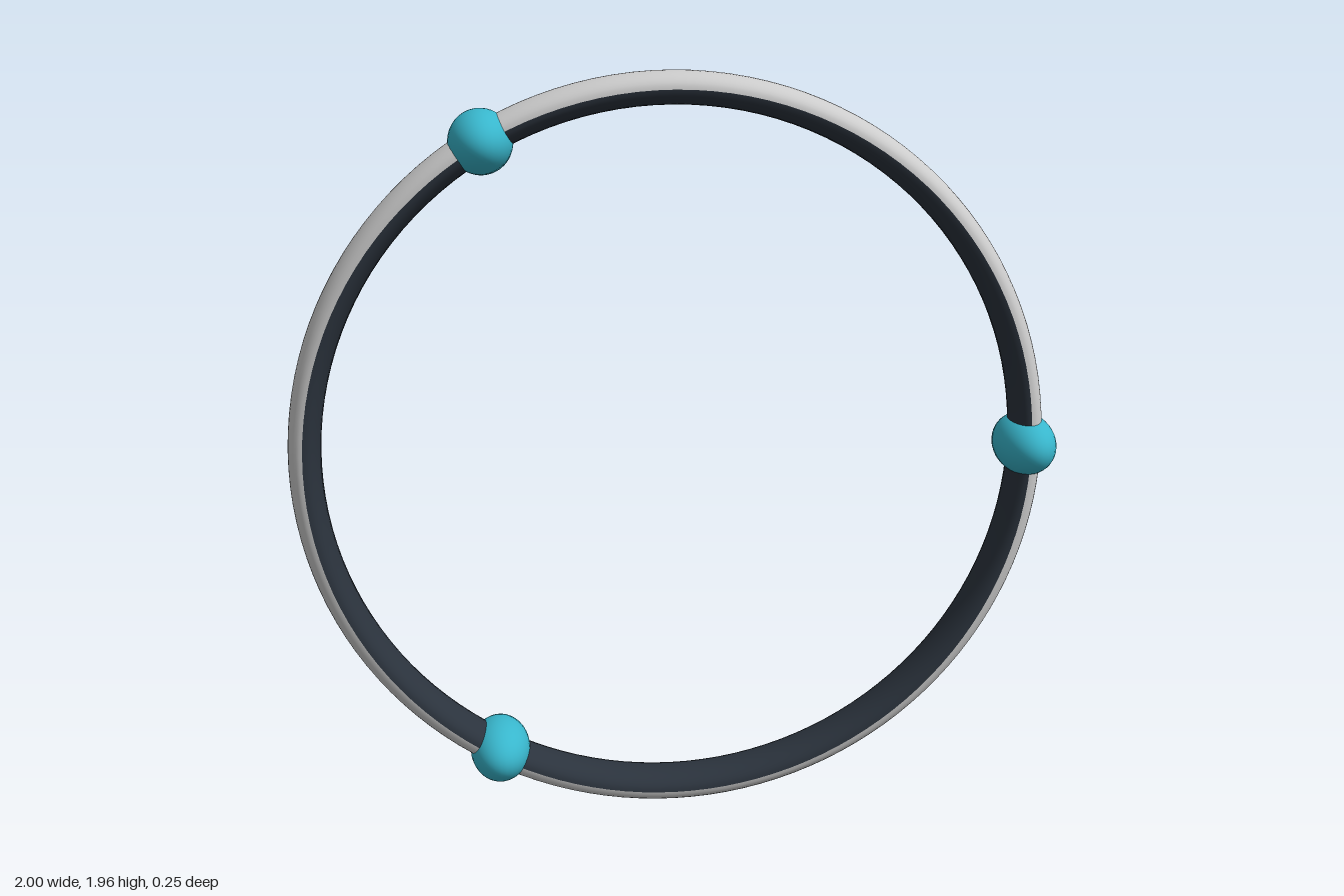
import * as THREE from 'three';

const RING_RADIUS = 0.9375; // centre line of the band
const HALF_THICK = 0.0415;  // radial half thickness of the band
const HALF_WIDTH = 0.07;    // half width of the band along z

// Half of the elliptical band section, swept round the ring
function bandHalf(name, startAngle, material) {
  const profile = [];
  for (let i = 0; i <= 16; i++) {
    const a = startAngle + (Math.PI * i) / 16;
    profile.push(new THREE.Vector2(
      RING_RADIUS + HALF_THICK * Math.cos(a),
      HALF_WIDTH * Math.sin(a)
    ));
  }
  const geometry = new THREE.LatheGeometry(profile, 128);
  geometry.rotateX(Math.PI / 2);
  const mesh = new THREE.Mesh(geometry, material);
  mesh.name = name;
  return mesh;
}

export function createModel() {
  const grey = new THREE.MeshStandardMaterial({ color: 0xcccccc });
  const dark = new THREE.MeshStandardMaterial({ color: 0x2b333d });
  const teal = new THREE.MeshStandardMaterial({ color: 0x38b6cc });

  const ring = new THREE.Group();
  ring.name = 'ring';
  ring.position.set(-0.02, 0.984, 0);

  // Outer shell and dark inner lining
  ring.add(bandHalf('outerBand', -Math.PI / 2, grey));
  ring.add(bandHalf('innerLining', Math.PI / 2, dark));

  // Three beads, evenly spaced and stretched across the band
  const beadGeometry = new THREE.SphereGeometry(0.08, 32, 24);
  for (let i = 0; i < 3; i++) {
    const a = (i * 2 * Math.PI) / 3;
    const bead = new THREE.Mesh(beadGeometry, teal);
    bead.name = `bead${i + 1}`;
    bead.position.set(RING_RADIUS * Math.cos(a), RING_RADIUS * Math.sin(a), 0);
    bead.scale.z = 1.56;
    ring.add(bead);
  }

  const model = new THREE.Group();
  model.name = 'beadedRing';
  model.add(ring);
  return model;
}
